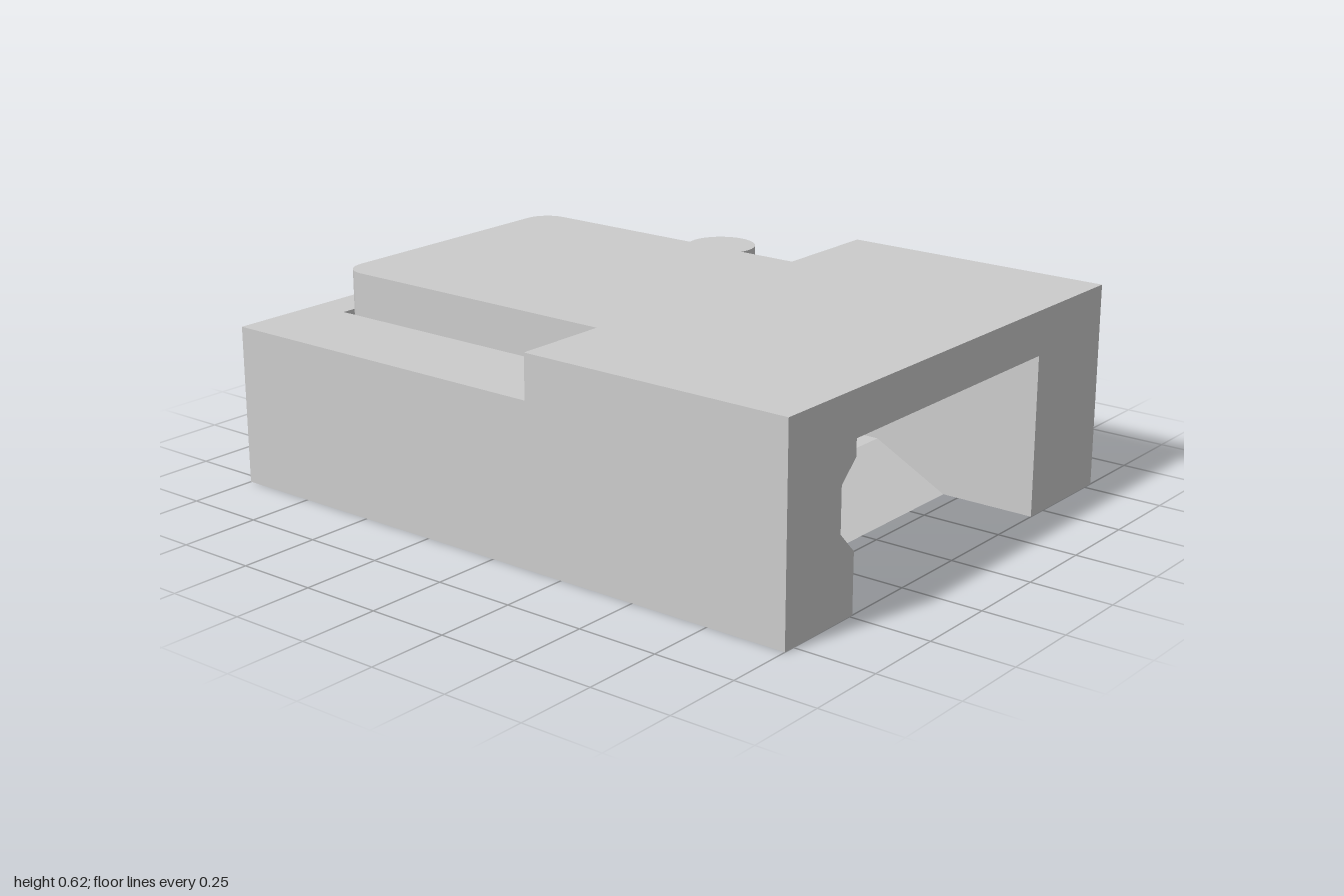
import * as THREE from 'three';
import { toCreasedNormals } from 'three/addons/utils/BufferGeometryUtils.js';

const mat = new THREE.MeshStandardMaterial({ color: 0xcccccc, side: THREE.DoubleSide });
const v2 = (pts) => pts.map(([a, b]) => new THREE.Vector2(a, b));

export function createModel() {
  const model = new THREE.Group();
  const add = (name, geo, x = 0, y = 0, z = 0) => {
    const m = new THREE.Mesh(geo, mat);
    m.name = name;
    m.position.set(x, y, z);
    model.add(m);
    return m;
  };
  const box = (name, w, h, d, x, y, z) => add(name, new THREE.BoxGeometry(w, h, d), x, y, z);
  const cyl = (name, r, h, x, y, z, n = 24) => add(name, new THREE.CylinderGeometry(r, r, h, n), x, y, z);

  // flat sheet in the x-z plane, points given as [x, z]
  const sheet = (name, pts, y, holes = []) => {
    const s = new THREE.Shape(v2(pts.map(([x, z]) => [x, -z])));
    holes.forEach((h) => s.holes.push(new THREE.Path(v2(h.map(([x, z]) => [x, -z])))));
    return add(name, new THREE.ShapeGeometry(s).rotateX(-Math.PI / 2), 0, y, 0);
  };
  // upright sheet in the x-y plane
  const upright = (name, pts, z) => add(name, new THREE.ShapeGeometry(new THREE.Shape(v2(pts))), 0, 0, z);
  // upright wall following a plan path of [x, z] points
  const wall = (name, path, y0, y1) => {
    const p = [];
    for (let i = 0; i + 1 < path.length; i++) {
      const [a, b] = path[i], [c, d] = path[i + 1];
      p.push(a, y0, b, c, y0, d, c, y1, d, a, y0, b, c, y1, d, a, y1, b);
    }
    const g = new THREE.BufferGeometry();
    g.setAttribute('position', new THREE.Float32BufferAttribute(p, 3));
    g.computeVertexNormals();
    return add(name, toCreasedNormals(g, 0.6));
  };
  // sheet from an x-y line pulled along z
  const strip = (name, pts, z0, z1) => {
    for (let i = 0; i + 1 < pts.length; i++) {
      const [a, b] = pts[i], [c, d] = pts[i + 1];
      const g = new THREE.PlaneGeometry(Math.hypot(c - a, d - b), z1 - z0);
      g.rotateX(-Math.PI / 2).rotateZ(Math.atan2(d - b, c - a));
      add(name, g, (a + c) / 2, (b + d) / 2, (z0 + z1) / 2);
    }
  };
  const arc = (cx, cz, r, a0, a1, n = 8) => Array.from({ length: n + 1 }, (_, i) => {
    const a = a0 + ((a1 - a0) * i) / n;
    return [cx + r * Math.cos(a), cz + r * Math.sin(a)];
  });
  const PI = Math.PI;
  const roundRect = (cx, cz, hx, hz, r) => [0, 1, 2, 3].flatMap((k) => arc(
    cx + (k === 0 || k === 3 ? 1 : -1) * (hx - r), cz + (k < 2 ? 1 : -1) * (hz - r), r, (k * PI) / 2, ((k + 1) * PI) / 2));

  const W = 0.787, L = -0.487, R = 0.433, deckY = 0.49, topY = 0.625, step = 0.13, back = -0.88;
  const roomZ = 0.46, r = 0.08;

  // outer shell, open underneath
  wall('outerWall', [[-W, 1], [-W, -1], [W, -1], [W, 1]], 0, deckY);
  const notch = [[L, 0], [L, 0.18], [-0.55, 0.245], [-0.55, 0.38], [L, 0.44], [L, deckY]];
  upright('frontFace', [[-W, 0], ...notch, [R, deckY], [R, 0], [W, 0], [W, topY], [-W, topY]], 1);
  for (const s of [-1, 1]) wall('upperSideWall', [[s * W, step], [s * W, 1]], deckY, topY);
  sheet('rearDeck', [[-W, step], [-W, -1], [W, -1], [W, step], [R, step], [R, back], [L, back], [L, step]], deckY);

  // raised roof with rounded rear corners
  const bay = [...arc(L + r, back + r, r, PI, 1.5 * PI), ...arc(R - r, back + r, r, 1.5 * PI, 2 * PI)];
  sheet('roof', [[-W, 1], [-W, step], [L, step], ...bay, [R, step], [W, step], [W, 1]], topY);
  wall('roofStep', [[-W, step], [L, step], ...bay, [R, step], [W, step]], deckY, topY);

  // inner room wall and entrance passage
  wall('roomWall', [[L, roomZ], ...bay, [R, roomZ]], 0, deckY);
  strip('passageWall', [...notch, [R, deckY], [R, 0]], roomZ, 1);
  upright('passageNicheEnd', notch.slice(1, 5), roomZ);
  strip('nicheFrame', [[L, 0.21], [-0.528, 0.255], [-0.528, 0.37], [L, 0.41]], roomZ, 0.5);
  sheet('legUnderside', [[-W, 1], [-W, roomZ], [L, roomZ], [L, 1]], 0);

  // entry ramp, a thin sloping sheet
  const rampRise = 0.125, rampRun = 0.7 - roomZ;
  const ramp = new THREE.PlaneGeometry(R - L, Math.hypot(rampRise, rampRun));
  ramp.rotateX(-PI / 2 + Math.atan2(rampRise, rampRun));
  add('ramp', ramp, (L + R) / 2, rampRise / 2, roomZ + rampRun / 2);
  wall('floorFrontEdge', [[L, roomZ], [R, roomZ]], 0, 0.125);

  // floor with a collared rounded opening through it
  const inner = roundRect(-0.03, -0.23, 0.215, 0.32, 0.06);
  const outer = roundRect(-0.03, -0.23, 0.235, 0.34, 0.07);
  const plan = [[L, roomZ], ...bay, [R, roomZ]];
  sheet('floorTop', plan, 0.125, [inner]);
  sheet('floorUnderside', plan, 0.085, [outer]);
  wall('openingInnerWall', [...inner, inner[0]], 0.03, 0.14);
  wall('openingCollar', [...outer, outer[0]], 0.03, 0.085);
  sheet('collarLip', outer, 0.03, [inner]);

  // ceiling with a recess that holds a hatch
  sheet('ceiling', plan, deckY - 0.003, [outer]);
  wall('ceilingRecess', [...outer, outer[0]], deckY - 0.003, 0.6);
  sheet('recessTop', outer, 0.6);
  for (const s of [-1, 1]) {
    const leaf = box('hatchLeaf', 0.14, 0.012, 0.5, -0.03 + s * 0.12, 0.545, -0.23);
    leaf.rotation.z = s * 0.5;
    for (const z of [-0.4, -0.06]) box('hatchHinge', 0.03, 0.04, 0.04, -0.03 + s * 0.19, 0.53, z);
  }
  box('hatchMotor', 0.08, 0.06, 0.12, -0.03, 0.54, -0.2);
  box('hatchBeam', 0.04, 0.03, 0.5, -0.03, 0.58, -0.23);

  // rear wall of the room: main panel, inclined upper panel and cornice
  box('rearPanel', 0.76, 0.25, 0.03, -0.02, 0.25, -0.84);
  const upper = box('upperRearPanel', 0.76, 0.11, 0.015, -0.02, 0.405, -0.79);
  upper.rotation.x = 0.75;
  const cornice = box('rearCornice', 0.86, 0.06, 0.015, -0.02, 0.462, -0.735);
  cornice.rotation.x = 0.9;
  box('rearSkirt', 0.82, 0.025, 0.05, -0.03, 0.14, -0.83);
  for (const x of [-0.23, 0.18]) {
    for (const dx of [-0.02, 0.02]) cyl('wallPipe', 0.012, 0.32, x + dx, 0.285, -0.74, 12);
    box('pipeClamp', 0.075, 0.014, 0.04, x, 0.44, -0.75);
    box('pipeFoot', 0.09, 0.02, 0.06, x, 0.135, -0.74);
  }
  for (const x of [-0.33, -0.1, 0.05, 0.28]) {
    box('ventFrame', 0.125, 0.06, 0.01, x, 0.21, -0.822);
    for (let i = 0; i < 6; i++) {
      const slat = box('ventSlat', 0.11, 0.004, 0.014, x, 0.187 + i * 0.009, -0.812);
      slat.rotation.x = 0.6;
    }
  }
  box('controlBox', 0.05, 0.05, 0.03, 0.275, 0.315, -0.82);
  box('controlScreen', 0.025, 0.018, 0.01, 0.27, 0.322, -0.803);
  for (const x of [-0.13, 0.09]) box('wallStud', 0.012, 0.012, 0.02, x, 0.41, -0.76);

  // side panels, lamps
  for (const [x, s] of [[-0.467, -1], [0.408, 1]]) {
    box('sidePanel', 0.02, 0.2, 1.1, x, 0.3, -0.25);
    const skirt = box('sideSkirt', 0.02, 0.08, 1.1, x - s * 0.01, 0.17, -0.25);
    skirt.rotation.z = -s * 0.4;
    box('doorJamb', 0.025, 0.35, 0.04, x - s * 0.02, 0.31, -0.6);
  }
  for (const y of [0.29, 0.33]) {
    add('nicheLamp', new THREE.SphereGeometry(0.018, 16, 10), -0.51, y, 0.49);
  }
  for (const x of [-0.38, 0.33]) {
    const dome = new THREE.SphereGeometry(0.036, 20, 8, 0, 2 * PI, PI / 2, PI / 2);
    add('ceilingLamp', dome, x, deckY - 0.004, 0.2);
  }

  // round shaft beside the room, passing through the deck
  const [cx, cz] = [0.51, -0.2];
  cyl('shaft', 0.107, 0.46, cx, 0.38, cz, 40);
  cyl('shaftFlange', 0.085, 0.02, cx, 0.14, cz, 32);
  cyl('shaftHub', 0.04, 0.03, cx, 0.125, cz, 20);
  for (let i = 0; i < 12; i++) {
    const a = (i * PI) / 6;
    cyl('flangeBolt', 0.008, 0.012, cx + 0.065 * Math.cos(a), 0.127, cz + 0.065 * Math.sin(a), 8);
  }

  // rail and corner post on the outside of the room
  box('outerRail', 0.014, 0.02, 1.27, R + 0.007, 0.14, -0.2);
  box('railBracket', 0.02, 0.07, 0.2, R + 0.01, 0.18, 0.25);
  cyl('cornerPost', 0.018, 0.52, R - 0.018, 0.26, -0.855, 16);

  return model;
}
